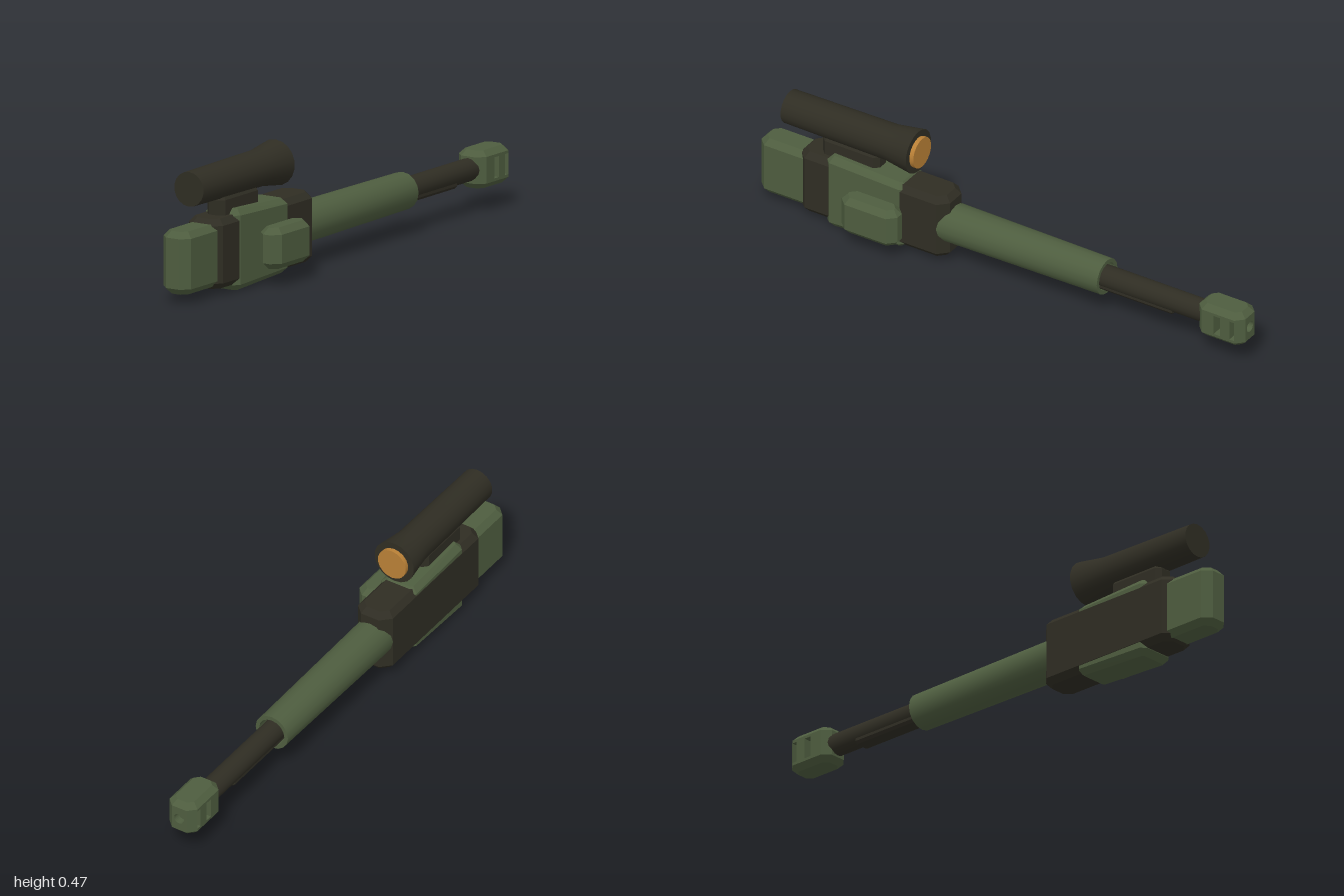
import * as THREE from 'three';
import { ConvexGeometry } from 'three/addons/geometries/ConvexGeometry.js';
import { toCreasedNormals } from 'three/addons/utils/BufferGeometryUtils.js';

const CX = -0.043; // centre line of the long body

export function createModel() {
  const group = new THREE.Group();
  const material = (name, color) => {
    const m = new THREE.MeshStandardMaterial({ color });
    m.name = name;
    return m;
  };
  const green = material('olive green', 0x4e5d3f);
  const dark = material('dark brown', 0x2f2d23);
  const orange = material('lens orange', 0xb98036);

  const add = (name, geometry, mat) => {
    const mesh = new THREE.Mesh(geometry, mat);
    mesh.name = name;
    group.add(mesh);
    return mesh;
  };

  // Octagonal-plan block with bevelled bottom and top; taper shrinks its height towards -z
  const block = (name, mat, [x0, x1], [y0, y1], [z0, z1], o = {}) => {
    const { cut = 0.03, low = 0.022, high = 0.022, inset = 0.02, taper = 0 } = o;
    const pts = [];
    const ring = (y, i) => {
      const w = (x1 - x0) / 2 - i, d = (z1 - z0) / 2 - i, c = cut - i * 0.5;
      for (const sx of [-1, 1]) for (const sz of [-1, 1]) {
        for (const [px, pz] of [[w, d - c], [w - c, d]]) {
          const t = 1 - taper * (1 - (sz * pz) / d) / 2;
          const mid = (y0 + y1) / 2;
          pts.push(new THREE.Vector3((x0 + x1) / 2 + sx * px, mid + (y - mid) * t, (z0 + z1) / 2 + sz * pz));
        }
      }
    };
    ring(y0, low ? inset : 0);
    if (low) ring(y0 + low, 0);
    if (high) ring(y1 - high, 0);
    ring(y1, high ? inset : 0);
    return add(name, new ConvexGeometry(pts), mat);
  };

  // Turned part along z from [radius, z] pairs, ordered from -z to +z on the outside
  const turned = (name, mat, y, profile, sides = 18) => {
    const geo = new THREE.LatheGeometry(profile.map(([r, z]) => new THREE.Vector2(r, z)), sides);
    geo.rotateX(Math.PI / 2);
    const mesh = add(name, toCreasedNormals(geo, 0.6), mat);
    mesh.position.set(CX, y, 0);
    return mesh;
  };

  // Main body
  block('endBlock', green, [-0.101, 0.015], [0.036, 0.26], [0.76, 1]);
  block('receiver', dark, [-0.115, 0.029], [0.027, 0.276], [0.215, 0.83], { cut: 0.035 });
  block('bodyShell', green, [-0.114, 0.031], [0.003, 0.295], [0.385, 0.71], { cut: 0.018, taper: 0.09 });
  block('sideBox', green, [0.033, 0.122], [0.068, 0.215], [0.37, 0.6]);
  block('sideBoxLink', dark, [0.02, 0.04], [0.12, 0.17], [0.44, 0.53], { cut: 0.004, low: 0, high: 0 });

  // Sight
  block('sightMount', dark, [-0.08, -0.005], [0.26, 0.35], [0.515, 0.75], { cut: 0.018, low: 0, high: 0.02, inset: 0.012 });
  turned('sightTube', dark, 0.395, [[0, 0.37], [0.082, 0.37], [0.066, 0.48], [0.062, 0.9], [0, 0.9]]);
  turned('sightLens', orange, 0.395, [[0, 0.354], [0.058, 0.354], [0.058, 0.371]]);

  // Barrel
  turned('barrelSleeve', green, 0.152,
    [[0, -0.33], [0.052, -0.33], [0.052, -0.41], [0.067, -0.41], [0.073, 0.25], [0, 0.25]], 16);
  turned('barrel', dark, 0.154, [[0, -0.83], [0.041, -0.83], [0.041, -0.3], [0, -0.3]], 16);
  block('barrelRail', dark, [CX - 0.033, CX + 0.033], [0.111, 0.137], [-0.705, -0.32],
    { cut: 0.01, low: 0.01, high: 0, inset: 0.008 });

  // Muzzle: bevelled top and bottom slabs joined by walls, leaving two open side slots
  const mx = [-0.101, 0.015];
  const mz = [-1, -0.81];
  block('muzzleBottom', green, mx, [0.086, 0.116], mz, { cut: 0.028, high: 0, low: 0.02 });
  block('muzzleTop', green, mx, [0.191, 0.221], mz, { cut: 0.028, low: 0, high: 0.02 });

  const wall = (name, plan) => {
    const pts = [];
    for (const [x, z] of plan) for (const y of [0.116, 0.191]) pts.push(new THREE.Vector3(CX + x, y, z));
    add(name, new ConvexGeometry(pts), green);
  };
  wall('muzzleBackWall', [[-0.058, -0.887], [0.058, -0.887], [0.058, -0.838], [-0.058, -0.838], [0.03, -0.81], [-0.03, -0.81]]);
  wall('muzzleDivider', [[-0.058, -0.952], [0.058, -0.952], [0.058, -0.914], [-0.058, -0.914]]);
  for (const s of [-1, 1]) wall('muzzleCorner', [[s * 0.03, -1], [s * 0.03, -0.972], [s * 0.058, -0.972]]);

  // End wall with the bore
  const end = new THREE.Shape();
  end.moveTo(-0.03, 0.116).lineTo(0.03, 0.116).lineTo(0.03, 0.191).lineTo(-0.03, 0.191).closePath();
  end.holes.push(new THREE.Path().absarc(0, 0.154, 0.02, 0, Math.PI * 2, true));
  const endGeo = new THREE.ExtrudeGeometry(end, { depth: 0.028, bevelEnabled: false, curveSegments: 12 });
  add('muzzleEndWall', endGeo, green).position.set(CX, 0, -1);

  return group;
}
